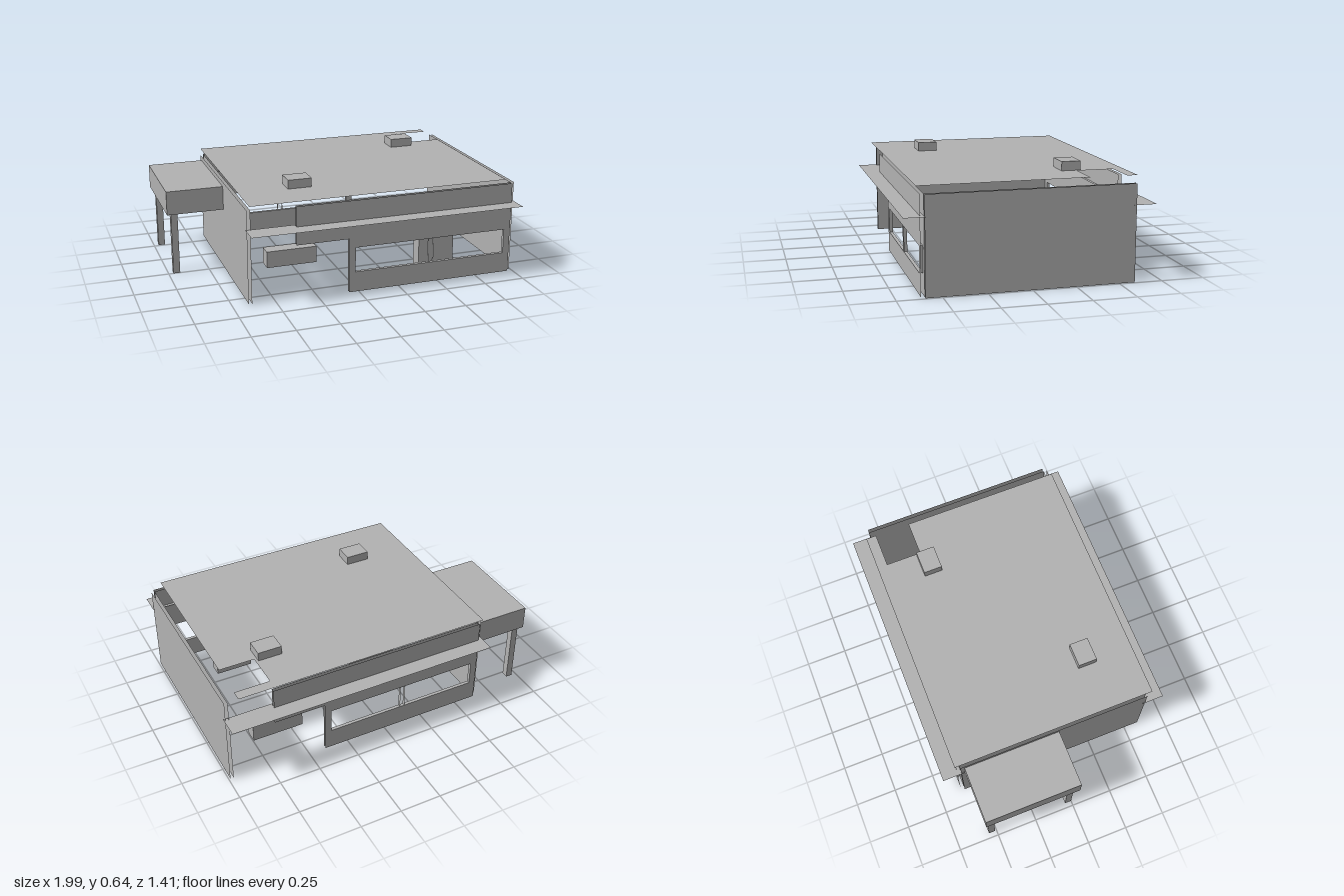
import * as THREE from 'three';

export function createModel() {
  const model = new THREE.Group();
  const plaster = new THREE.MeshStandardMaterial({ color: 0xb2b2b2, side: THREE.DoubleSide });
  plaster.name = 'plainGrey';

  const add = (name, geometry, parent = model) => {
    const mesh = new THREE.Mesh(geometry, plaster);
    mesh.name = name;
    parent.add(mesh);
    return mesh;
  };
  // Box given by its limits on each axis
  const block = (name, [x0, x1], [y0, y1], [z0, z1], parent) =>
    add(name, new THREE.BoxGeometry(x1 - x0, y1 - y0, z1 - z0), parent)
      .position.set((x0 + x1) / 2, (y0 + y1) / 2, (z0 + z1) / 2);
  // Horizontal sheet from an outline of [x, z] points
  const sheet = (name, y, points) => {
    const shape = new THREE.Shape(points.map(([x, z]) => new THREE.Vector2(x, -z)));
    add(name, new THREE.ShapeGeometry(shape).rotateX(-Math.PI / 2).translate(0, y, 0));
  };
  // Upright sheet facing along x
  const fin = (name, x, [y0, y1], [z0, z1], parent) =>
    add(name, new THREE.PlaneGeometry(z1 - z0, y1 - y0).rotateY(Math.PI / 2), parent)
      .position.set(x, (y0 + y1) / 2, (z0 + z1) / 2);

  const mid = 0.1675; // centre of the house along x
  const inner = 0.592, outer = 0.612;
  const sill = 0.123, head = 0.273;

  // Long walls: double-skinned, with a window and a stepped doorway
  const outline = [[-0.375, 0.56], [-0.375, 0.33], [-0.06, 0.33], [-0.06, 0], [0.97, 0], [0.97, 0.56]];
  const opening = [[-0.02, sill], [-0.02, head], [0.93, head], [0.93, sill]];
  const toLocal = ([x, y]) => new THREE.Vector2(x - mid, y);
  for (const [side, turn] of [['front', 0], ['back', Math.PI]]) {
    const wall = new THREE.Group();
    wall.name = side + 'Wall';
    wall.position.x = mid;
    wall.rotation.y = turn;
    model.add(wall);
    const shape = new THREE.Shape(outline.map(toLocal));
    shape.holes.push(new THREE.Path(opening.map(toLocal)));
    for (const z of [inner, outer]) {
      add(side + 'WallSkin', new THREE.ShapeGeometry(shape).translate(0, 0, z), wall);
    }
    // Window reveal and centre mullion
    for (const x of [-0.02, 0.44, 0.47, 0.93]) {
      fin(side + 'WindowJamb', x - mid, [sill, head], [inner, outer], wall);
    }
    for (const y of [sill, head]) {
      const ledge = new THREE.PlaneGeometry(0.95, outer - inner).rotateX(-Math.PI / 2);
      add(side + 'WindowLedge', ledge, wall).position.set(0.455 - mid, y, (inner + outer) / 2);
    }
  }

  // Double-skinned end walls
  for (const [name, x] of [['rightWall', -0.635], ['rightWall', -0.655], ['leftWall', 0.97], ['leftWall', 0.99]]) {
    fin(name, x, [0, 0.56], [-inner, inner]);
  }

  // Flat roof with a corner cut-out, and sunshades along both long sides
  sheet('roof', 0.592, [[-0.647, -0.623], [0.918, -0.623], [0.918, -0.56], [0.705, -0.56],
    [0.705, -0.345], [0.918, -0.345], [0.918, 0.623], [-0.647, 0.623]]);
  for (const s of [-1, 1]) {
    sheet('sunshade', 0.44, [[-0.66, s * 0.574], [0.997, s * 0.574], [0.997, s * 0.707], [-0.66, s * 0.707]]);
  }

  // Rooftop units
  block('rooftopUnit', [-0.355, -0.212], [0.592, 0.645], [0.273, 0.387]);
  block('rooftopUnit', [0.545, 0.69], [0.592, 0.645], [-0.37, -0.257]);

  // Carport canopy on two posts
  block('carportCanopy', [-0.997, -0.65], [0.385, 0.53], [-0.568, 0.027]);
  for (const z of [-0.53, -0.02]) {
    block('carportPost', [-0.97, -0.93], [0, 0.385], [z - 0.02, z + 0.02]);
  }

  // Indoor counters and a row of cabinets
  block('counter', [-0.41, -0.09], [0, 0.105], [0.01, 0.1]);
  block('counter', [0.425, 0.745], [0, 0.12], [-0.36, -0.28]);
  for (let i = 0; i < 4; i++) {
    const x = 0.47 + i * 0.0575;
    block('cabinet', [x, x + 0.0575], [0, 0.21], [0.32, 0.4]);
  }

  return model;
}
